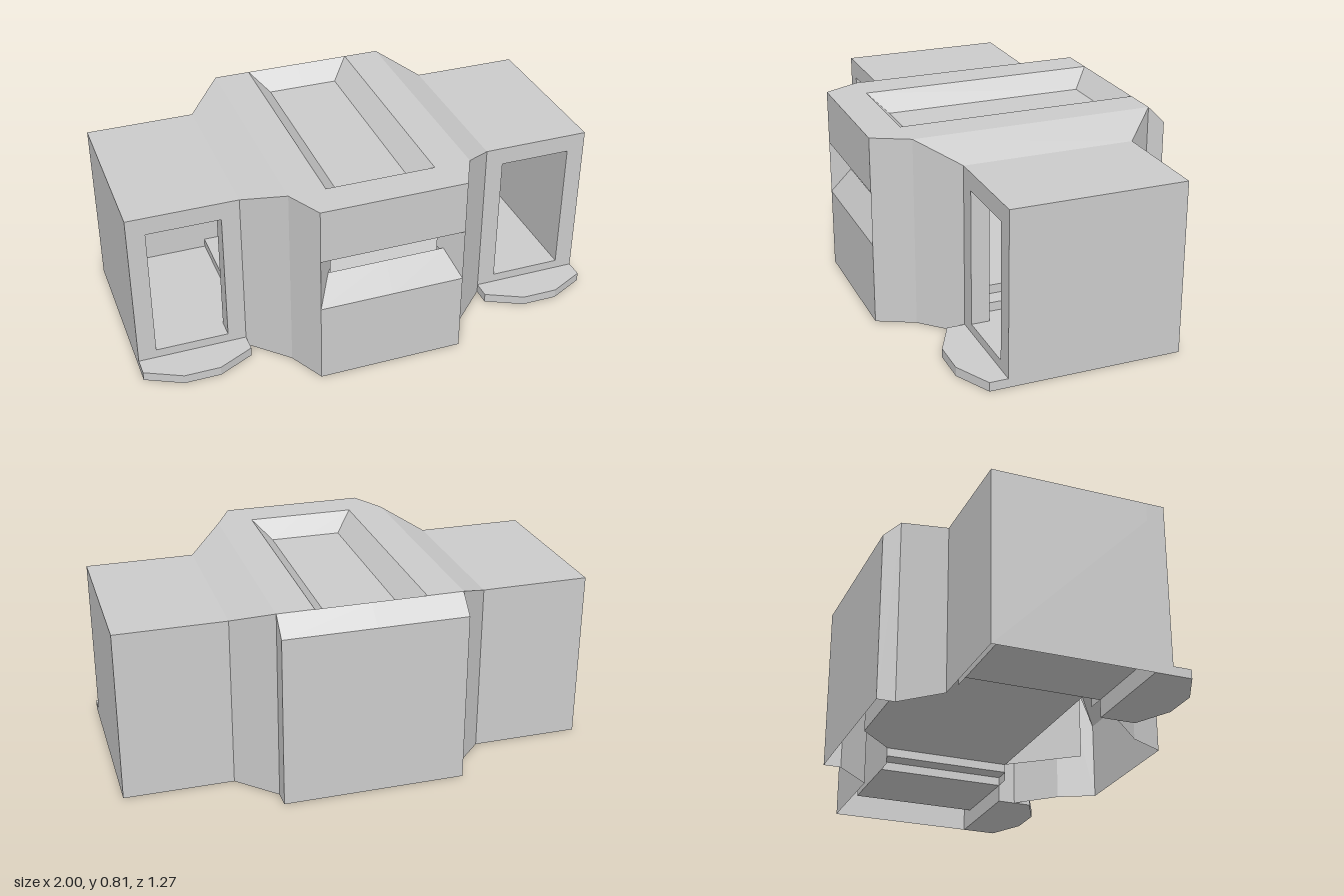
import * as THREE from 'three';

// All dimensions are in modules; the building is 26 modules wide.
const U = 1 / 13;

export function createModel() {
  const model = new THREE.Group();
  model.name = 'building';
  const mat = new THREE.MeshStandardMaterial({ color: 0xcccccc, flatShading: true, side: THREE.DoubleSide });

  const add = (name, geo) => {
    geo.scale(U, U, U);
    const mesh = new THREE.Mesh(geo, mat);
    mesh.name = name;
    model.add(mesh);
  };

  // Convex panels given for the +x half, mirrored to the other half
  const panels = (name, polys) => {
    const pos = [];
    const fan = (p) => {
      for (let i = 1; i < p.length - 1; i++) pos.push(...p[0], ...p[i], ...p[i + 1]);
    };
    for (const p of polys) {
      fan(p);
      fan(p.map(([x, y, z]) => [-x, y, z]).reverse());
    }
    const geo = new THREE.BufferGeometry();
    geo.setAttribute('position', new THREE.Float32BufferAttribute(pos, 3));
    geo.computeVertexNormals();
    add(name, geo);
  };
  // Upright panel between two plan points; tops may differ
  const wall = (a, b, y0, ya, yb = ya) =>
    [[a[0], y0, a[1]], [b[0], y0, b[1]], [b[0], yb, b[1]], [a[0], ya, a[1]]];
  // Level panel from plan points
  const flat = (y, pts) => pts.map(([x, z]) => [x, y, z]);

  // Central hall
  panels('hallWalls', [
    wall([0, 8.25], [4, 8.25], 0, 4.5),
    wall([0, 8.25], [4, 8.25], 7.5, 10.5),
    wall([4, 8.25], [5, 6.25], 0, 10.5),
    wall([5, 6.25], [7, 4.25], 0, 10.5, 9.5),
    wall([7, -5.25], [5, -7.25], 0, 9.5, 10.5),
    wall([5, -7.25], [5, -8.25], 0, 10.5, 9.5),
    wall([5, -8.25], [0, -8.25], 0, 9.5),
  ]);
  panels('hallRoof', [
    flat(10.5, [[0, 8.25], [4, 8.25], [5, 6.25], [0, 6.25]]),
    flat(10.5, [[3, 6.25], [5, 6.25], [5, -7.25], [3, -7.25]]),
    [[5, 10.5, 6.25], [7, 9.5, 4.25], [7, 9.5, -5.25], [5, 10.5, -7.25]],
    [[0, 10.5, -7.25], [5, 10.5, -7.25], [5, 9.5, -8.25], [0, 9.5, -8.25]],
  ]);
  panels('roofRecess', [
    [[0, 10.5, 6.25], [3, 10.5, 6.25], [2, 9.5, 5.25], [0, 9.5, 5.25]],
    [[2, 9.5, 5.25], [3, 10.5, 6.25], [3, 10.5, -7.25], [2, 9.5, -6.25]],
    [[0, 9.5, -6.25], [2, 9.5, -6.25], [3, 10.5, -7.25], [0, 10.5, -7.25]],
    flat(9.5, [[0, 5.25], [2, 5.25], [2, -6.25], [0, -6.25]]),
  ]);

  // Front window with sloping sill and splayed sides
  panels('windowSill', [
    [[0, 4.5, 8.25], [4, 4.5, 8.25], [3.25, 6, 7.25], [0, 6, 7.25]],
  ]);
  panels('windowReveals', [
    [[4, 4.5, 8.25], [4, 7.5, 8.25], [3, 7.5, 6.92], [3, 6, 6.92], [3.25, 6, 7.25]],
  ]);

  // Hall interior
  panels('hallFloor', [
    flat(2, [[0, 3.25], [6, 3.25], [6, -4.25], [4, -6.25], [0, -6.25]]),
  ]);
  panels('hallCeiling', [
    flat(7.5, [[0, 8.25], [4, 8.25], [3, 6.92], [0, 6.92]]),
    flat(7.5, [[0, 6.92], [3, 6.92], [6, 3.25], [6, -4.25], [4, -6.25], [0, -6.25]]),
  ]);
  panels('hallInnerWalls', [
    wall([6, 3.25], [3, 6.92], 2, 7.5),
    wall([4, -6.25], [6, -4.25], 2, 7.5),
    wall([0, -6.25], [4, -6.25], 2, 7.5),
    wall([6, 3.25], [6, -4.25], 7.5, 8.5),
  ]);

  // Stairs from each wing up to the hall
  panels('stairs', [
    wall([7, 3.25], [7, -4.25], 1, 1.5),
    flat(1.5, [[6, 3.25], [7, 3.25], [7, -4.25], [6, -4.25]]),
    wall([6, 3.25], [6, -4.25], 1.5, 2),
  ]);

  // Side wings: outer shell and inner room
  panels('wingWalls', [
    wall([13, 4.25], [13, -5.25], 0, 9.5),
    wall([13, -5.25], [7, -5.25], 0, 9.5),
  ]);
  panels('wingRoof', [flat(9.5, [[7, 4.25], [13, 4.25], [13, -5.25], [7, -5.25]])]);
  panels('wingRoom', [
    flat(1, [[7, 3.25], [12, 3.25], [12, -4.25], [7, -4.25]]),
    flat(8.5, [[6, 3.25], [12, 3.25], [12, -4.25], [6, -4.25]]),
    wall([12, -4.25], [12, 3.25], 1, 8.5),
    wall([6, -4.25], [12, -4.25], 1, 8.5),
    wall([7, 3.25], [6, 3.25], 1, 8.5),
  ]);

  // Doorway walls and bevelled doorsteps
  const shapeOf = (pts) => new THREE.Shape(pts.map(([x, y]) => new THREE.Vector2(x, y)));
  for (const side of [-1, 1]) {
    const prefix = side > 0 ? 'left' : 'right';
    const front = shapeOf([[-3, 0], [3, 0], [3, 9.5], [-3, 9.5]]);
    front.holes.push(shapeOf([[-2, 1], [-2, 8.5], [2, 8.5], [2, 1]]));
    const doorWall = new THREE.ExtrudeGeometry(front, { depth: 1, bevelEnabled: false });
    doorWall.translate(side * 10, 0, 3.25);
    add(prefix + 'DoorWall', doorWall);

    const plan = shapeOf([[-3, -4.25], [-3, -5.25], [-1, -6.25], [1, -6.25], [3, -5.25], [3, -4.25]]);
    const step = new THREE.ExtrudeGeometry(plan, { depth: 0.5, bevelEnabled: false });
    step.rotateX(-Math.PI / 2);
    step.translate(side * 10, 0, 0);
    add(prefix + 'Doorstep', step);
  }

  return model;
}
